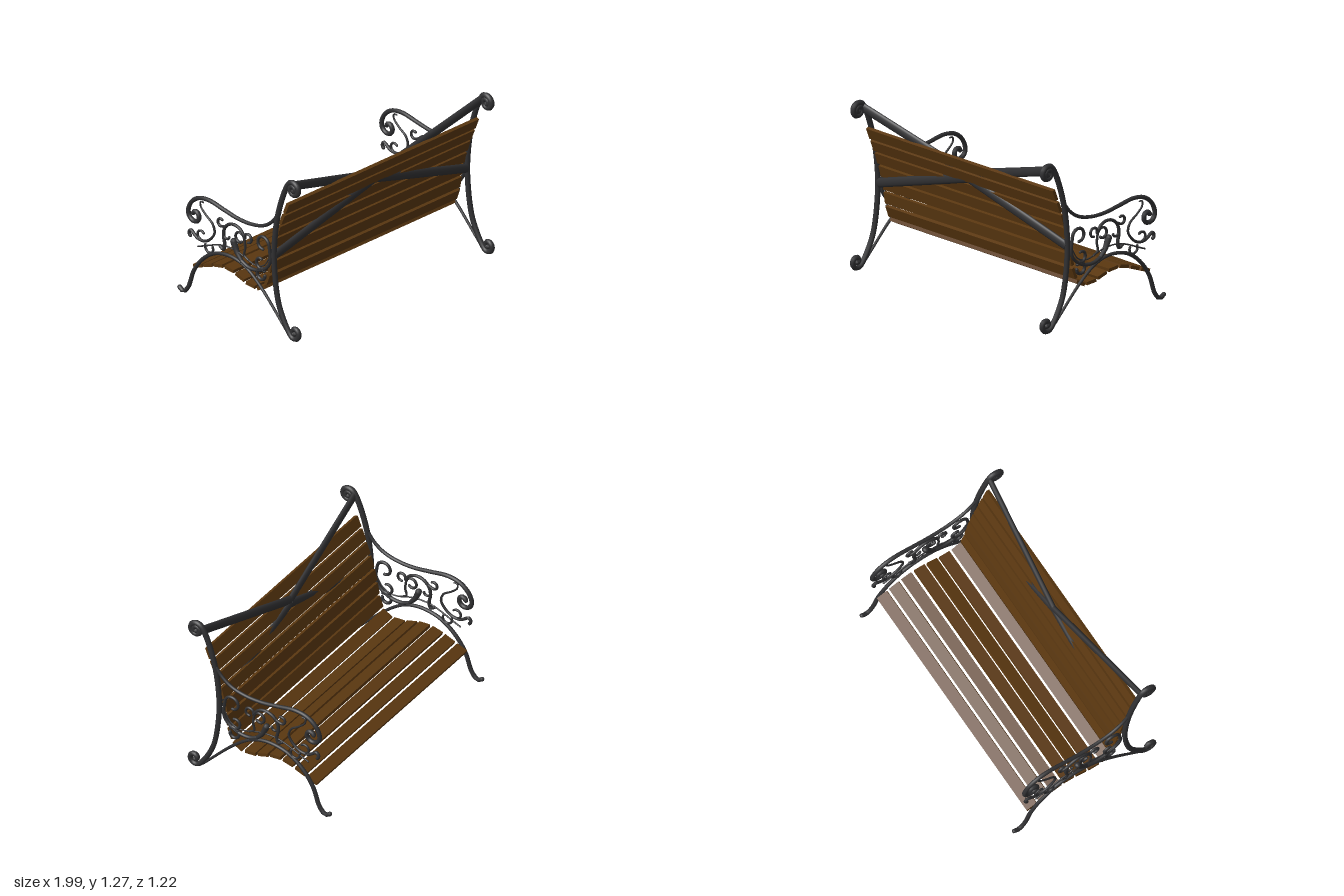
import * as THREE from 'three';

const iron = new THREE.MeshStandardMaterial({ color: 0x303032 });
const wood = new THREE.MeshStandardMaterial({ color: 0x5a3710 });

// Paths lie in the side plane, in hundredths of a unit
const at = (z, y) => new THREE.Vector3(0, y / 100, z / 100);

// Spiral about (z, y), from radius r0 at angle a0 to radius r1 at angle a1 (degrees)
function spiral(z, y, r0, r1, a0, a1) {
  const n = Math.ceil(Math.abs(a1 - a0) / 35);
  return Array.from({ length: n + 1 }, (_, i) => {
    const r = THREE.MathUtils.lerp(r0, r1, i / n);
    const a = THREE.MathUtils.degToRad(THREE.MathUtils.lerp(a0, a1, i / n));
    return at(z + r * Math.cos(a), y + r * Math.sin(a));
  });
}

// Round rod along a path, its radius changing evenly from r0 to r1, with rounded ends
function rod(name, r0, r1, pts) {
  const curve = new THREE.CatmullRomCurve3(pts, false, 'centripetal');
  const steps = pts.length * 4, sides = 8;
  const geo = new THREE.TubeGeometry(curve, steps, 1, sides);
  const pos = geo.attributes.position, v = new THREE.Vector3();
  for (let k = 0; k < pos.count; k++) {
    const u = Math.floor(k / (sides + 1)) / steps;
    const c = curve.getPointAt(u);
    v.fromBufferAttribute(pos, k).sub(c).multiplyScalar(THREE.MathUtils.lerp(r0, r1, u)).add(c);
    pos.setXYZ(k, v.x, v.y, v.z);
  }
  const group = new THREE.Group();
  group.name = name;
  const tube = new THREE.Mesh(geo, iron);
  tube.name = name + 'Tube';
  group.add(tube);
  for (const [p, r] of [[pts[0], r0], [pts[pts.length - 1], r1]]) {
    const end = new THREE.Mesh(new THREE.SphereGeometry(r, 8, 6), iron);
    end.name = name + 'End';
    end.position.copy(p);
    group.add(end);
  }
  return group;
}

// Cast iron end frame
function endFrame(name) {
  const frame = new THREE.Group();
  frame.name = name;

  // Post, legs and armrest
  frame.add(rod('backPost', 0.021, 0.019, [
    ...spiral(53.6, 119.8, 1.2, 5.7, -450, 140),
    at(45, 116), at(38.4, 95.8), at(35, 75), at(34.4, 55), at(38.4, 26.6), at(44.2, 13.2),
    ...spiral(54.8, 7.6, 5.6, 1, -150, 270)]));
  frame.add(rod('frontLegArch', 0.009, 0.017, [
    at(47.6, 5.4), at(22.3, 31), at(8.8, 41.1), at(-1.3, 44.9), at(-12.1, 45.5), at(-25, 42.2),
    at(-36.8, 33.4), at(-45.2, 21.6), at(-50.6, 7), at(-55.4, 2), at(-59.3, 4)]));
  frame.add(rod('armrest', 0.012, 0.018, [
    at(38, 95), at(32.4, 87.4), at(23.9, 81.3), at(12, 78.2), at(-1.3, 77.9), at(-14.8, 79.9),
    at(-30, 82.3), at(-40.1, 80.6), at(-47.2, 75.4),
    ...spiral(-44, 66.2, 6.9, 1.8, 160, 510)]));

  // Rear scrollwork
  frame.add(rod('rearScroll', 0.011, 0.014, [
    ...spiral(23.2, 66.6, 4.3, 6, 270, 30),
    at(30, 63), at(30.4, 55.3), at(27, 49.2), at(18, 44), at(9, 43.3), at(2, 45.9)]));
  frame.add(rod('leaf', 0.014, 0.025, [at(2, 45.9), at(-2.6, 51.5), at(-5.7, 58.5)]));
  frame.add(rod('rearUpperCurl', 0.01, 0.012, spiral(20.8, 51, 3.3, 4.6, 70, 300)));
  frame.add(rod('rearLowerCurl', 0.012, 0.012, spiral(21.7, 42, 3.5, 4.6, 0, -310)));

  // Middle scrollwork
  frame.add(rod('middleArch', 0.011, 0.013, [
    ...spiral(-5, 60.7, 11.2, 10.8, 25, 185), at(-14.5, 52.6), at(-15.9, 48.6), at(-18.9, 50.3)]));
  frame.add(rod('middleLeftCurl', 0.009, 0.011, spiral(8.6, 65.6, 3.2, 3.4, -90, 195)));
  frame.add(rod('middleInnerCurl', 0.011, 0.008, [
    ...spiral(0.1, 63.3, 3.3, 4.6, -50, -345), at(5.6, 57), at(4.7, 51.3), at(8.8, 48.6)]));
  frame.add(rod('middleRightCurl', 0.01, 0.01, [...spiral(-18.4, 69, 2.8, 3, 60, 290), at(-14.2, 67.5)]));
  frame.add(rod('middleSmallCurl', 0.01, 0.008, spiral(-12.4, 60.8, 2.4, 3.4, -20, -215)));

  // Front scrollwork
  frame.add(rod('frontScroll', 0.006, 0.013, [
    at(-35.8, 78.6), at(-38.4, 78.4), at(-38.4, 74.8), at(-33.4, 69.8), at(-26.6, 64.8), at(-24.6, 58.7),
    at(-28.3, 52.6), at(-34.4, 48.6), at(-41.1, 48.6),
    ...spiral(-47.2, 50.3, 2.6, 2.6, 110, 235)]));
  frame.add(rod('frontUpperCurl', 0.009, 0.009, spiral(-37.9, 52, 3.6, 3.4, 45, 250)));
  frame.add(rod('frontLowerCurl', 0.009, 0.009, spiral(-29.6, 45, 3.4, 4.4, 30, -200)));
  frame.add(rod('tendril', 0.005, 0.006, [
    at(30, 58.7), at(24.5, 50.2), at(16, 47.2), at(-1.3, 51.6), at(-16, 51.7), at(-41, 42.2)]));
  return frame;
}

// Flattened straight bar between two points
function flatBar(name, a, b) {
  const dir = b.clone().sub(a);
  const bar = new THREE.Mesh(new THREE.CylinderGeometry(0.035, 0.035, dir.length(), 12), iron);
  bar.name = name;
  const y = dir.normalize();
  const x = new THREE.Vector3().crossVectors(y, new THREE.Vector3(0, 0, 1)).normalize();
  const z = new THREE.Vector3().crossVectors(x, y);
  bar.quaternion.setFromRotationMatrix(new THREE.Matrix4().makeBasis(x, y, z));
  bar.position.copy(a).add(b).multiplyScalar(0.5);
  bar.scale.z = 0.55;
  return bar;
}

export function createModel() {
  const bench = new THREE.Group();
  bench.name = 'bench';

  for (const s of [-1, 1]) {
    const frame = endFrame(s > 0 ? 'leftFrame' : 'rightFrame');
    frame.position.x = s * 0.97;
    bench.add(frame);
  }

  // Slats spaced evenly along the profile of back and seat, each tilted to follow it
  const profile = new THREE.CatmullRomCurve3([
    at(44.5, 101.2), at(36.8, 82), at(30.7, 61.5), at(25.6, 38.5), at(20.6, 30.7),
    at(9.8, 28.7), at(-11.5, 33.7), at(-21.6, 33.1), at(-43.2, 25.6)], false, 'centripetal');
  const count = 14;
  for (let i = 0; i < count; i++) {
    const slat = new THREE.Mesh(new THREE.BoxGeometry(1.91, 0.025, 0.088), wood);
    slat.name = i < count / 2 ? 'backSlat' : 'seatSlat';
    const t = profile.getTangentAt(i / (count - 1));
    slat.position.copy(profile.getPointAt(i / (count - 1)));
    slat.rotation.x = Math.atan2(t.y, -t.z);
    bench.add(slat);
  }

  // Crossed braces behind the backrest
  const middle = (y) => new THREE.Vector3(0, y, 0.385);
  for (const s of [-1, 1]) {
    bench.add(flatBar('upperBrace', new THREE.Vector3(s * 0.965, 1.205, 0.485), middle(0.925)));
    bench.add(flatBar('lowerBrace', new THREE.Vector3(s * 0.965, 0.615, 0.345), middle(0.895)));
  }
  return bench;
}
